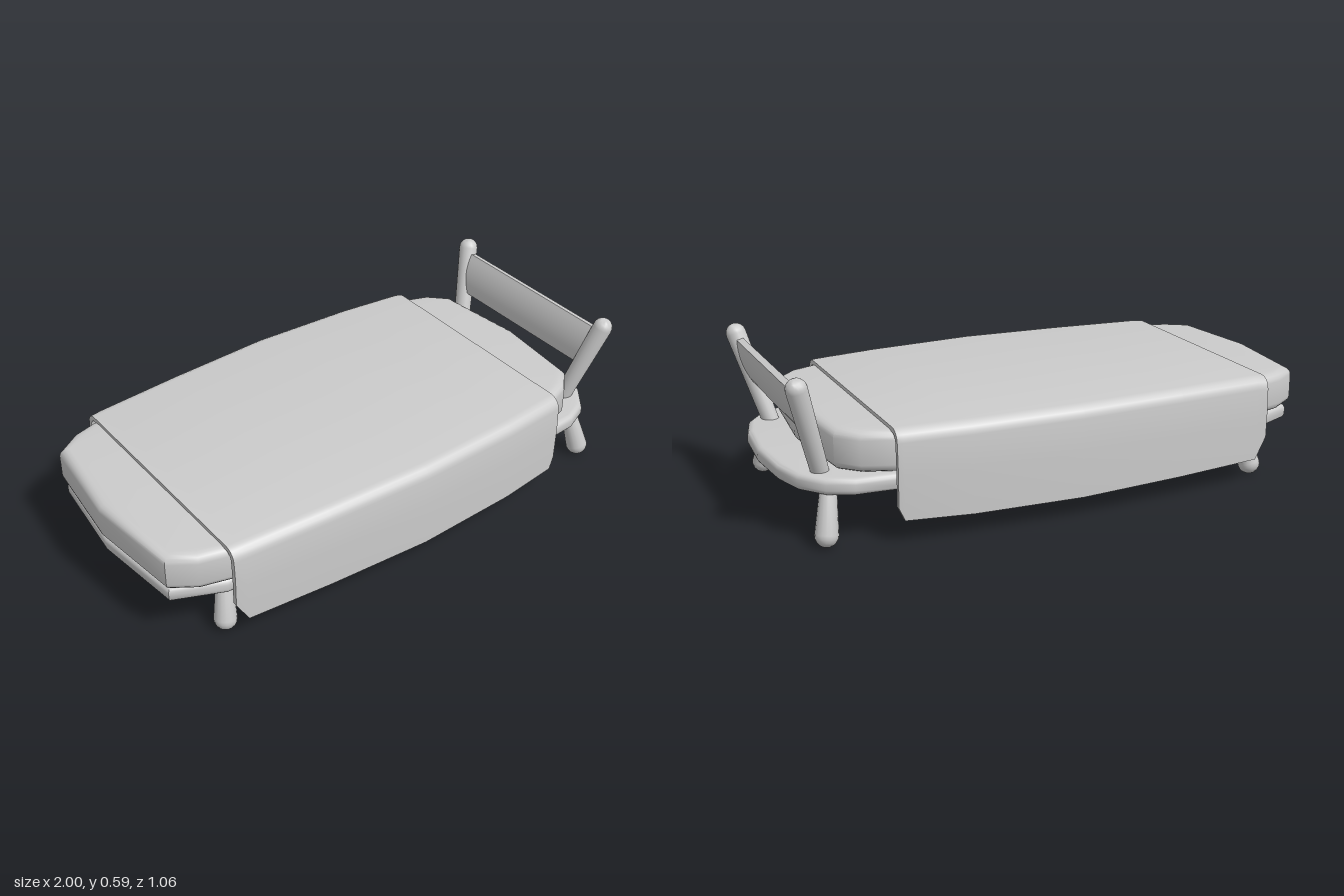
import * as THREE from 'three';
import { toCreasedNormals } from 'three/addons/utils/BufferGeometryUtils.js';

const material = new THREE.MeshStandardMaterial({ color: 0xcccccc, side: THREE.DoubleSide });

function addMesh(parent, name, geometry) {
  const mesh = new THREE.Mesh(geometry, material);
  mesh.name = name;
  parent.add(mesh);
  return mesh;
}

// Flat slab with rounded edges; half holds [x, z] along one long side, mirrored to the other
function slab(half, y0, y1, bevel, drop) {
  const points = half.map(([x, z]) => new THREE.Vector2(x, z));
  for (const [x, z] of half.slice(1, -1).reverse()) points.push(new THREE.Vector2(x, -z));
  const geometry = new THREE.ExtrudeGeometry(new THREE.Shape(points), {
    depth: y1 - y0 - 2 * drop, bevelThickness: drop, bevelSize: bevel, bevelOffset: -bevel, bevelSegments: 4,
  });
  geometry.rotateX(-Math.PI / 2).translate(0, y0 + drop, 0);
  return toCreasedNormals(geometry, 0.7);
}

// Tapered round rod from a to b with a domed end at b
function rod(a, b, ra, rb) {
  const axis = b.clone().sub(a);
  const length = axis.length();
  const profile = [new THREE.Vector2(0, 0), new THREE.Vector2(ra, 0)];
  for (let i = 0; i <= 5; i++) {
    const t = (i / 5) * Math.PI / 2;
    profile.push(new THREE.Vector2(rb * Math.cos(t), length - rb + rb * Math.sin(t)));
  }
  const geometry = toCreasedNormals(new THREE.LatheGeometry(profile, 16), 0.8);
  geometry.applyQuaternion(new THREE.Quaternion().setFromUnitVectors(new THREE.Vector3(0, 1, 0), axis.normalize()));
  return geometry.translate(a.x, a.y, a.z);
}

// Cross-section of the draped cover: one line over the top from +z to -z
function drape(halfWidth, top, bottom, radius) {
  const side = [[halfWidth, bottom], [halfWidth + 0.003, (bottom + top) / 2]];
  for (let i = 0; i <= 5; i++) {
    const t = (i / 5) * Math.PI / 2;
    side.push([halfWidth - radius * (1 - Math.cos(t)), top - radius * (1 - Math.sin(t))]);
  }
  return [...side, ...side.slice().reverse().map(([z, y]) => [-z, y])];
}

// Cover with thickness, lofted through stations [x, halfWidth, top, bottom]
function coverGeometry(stations) {
  const thickness = 0.018;
  const position = [];
  const index = [];
  let n = 0;
  for (const [x, w, top, bottom] of stations) {
    const outer = drape(w, top, bottom, 0.045);
    const inner = drape(w - thickness, top - thickness, bottom, 0.03).reverse();
    n = outer.length;
    for (const [z, y] of [...outer, ...inner]) position.push(x, y, z);
  }
  const ring = 2 * n;
  for (let s = 0; s < stations.length - 1; s++) {
    for (let i = 0; i < ring; i++) {
      const a = s * ring + i;
      const b = s * ring + (i + 1) % ring;
      index.push(a, a + ring, b, b, a + ring, b + ring);
    }
  }
  // Hems at both ends
  const last = (stations.length - 1) * ring;
  for (let i = 0; i < n - 1; i++) {
    const j = ring - 1 - i;
    index.push(i, i + 1, j, j, i + 1, j - 1);
    index.push(last + i, last + j, last + i + 1, last + j, last + j - 1, last + i + 1);
  }
  const geometry = new THREE.BufferGeometry();
  geometry.setAttribute('position', new THREE.Float32BufferAttribute(position, 3));
  geometry.setIndex(index);
  return toCreasedNormals(geometry, 0.7);
}

export function createModel() {
  const bed = new THREE.Group();
  bed.name = 'bed';

  // Base board, rounder at the head end
  addMesh(bed, 'baseBoard', slab([
    [-0.99, 0], [-0.95, 0.35], [-0.77, 0.43], [-0.4, 0.445], [0, 0.455], [0.4, 0.455],
    [0.65, 0.45], [0.79, 0.44], [0.88, 0.4], [0.95, 0.31], [0.985, 0.19], [1, 0],
  ], 0.178, 0.238, 0.022, 0.02));

  // Mattress
  addMesh(bed, 'mattress', slab([
    [-1, 0], [-0.96, 0.36], [-0.87, 0.42], [-0.76, 0.45], [-0.4, 0.46], [0, 0.468],
    [0.4, 0.46], [0.65, 0.45], [0.76, 0.41], [0.83, 0.34], [0.865, 0],
  ], 0.24, 0.385, 0.035, 0.03));

  // Cover hanging down both long sides
  addMesh(bed, 'cover', coverGeometry([
    [-0.775, 0.484, 0.398, 0.17], [-0.73, 0.488, 0.401, 0.09], [-0.4, 0.51, 0.404, 0.082],
    [0, 0.528, 0.406, 0.076], [0.4, 0.512, 0.403, 0.078], [0.64, 0.488, 0.4, 0.085], [0.66, 0.484, 0.398, 0.13],
  ]));

  // Splayed legs and head posts, mirrored front to back
  for (const s of [1, -1]) {
    const end = s > 0 ? 'front' : 'back';
    const v = (x, y, z) => new THREE.Vector3(x, y, z * s);
    addMesh(bed, end + 'HeadLeg', rod(v(0.855, 0.2, 0.35), v(0.888, 0.003, 0.405), 0.028, 0.041));
    addMesh(bed, end + 'FootLeg', rod(v(-0.735, 0.2, 0.35), v(-0.775, 0.003, 0.405), 0.028, 0.041));
    addMesh(bed, end + 'HeadPost', rod(v(0.865, 0.22, 0.302), v(0.967, 0.585, 0.394), 0.031, 0.037));
  }

  // Headboard panel: shallow lens section, leaning with the posts
  const lens = new THREE.Shape();
  lens.moveTo(-0.012, -0.08);
  lens.quadraticCurveTo(-0.036, 0, -0.012, 0.08);
  lens.lineTo(0.012, 0.08);
  lens.quadraticCurveTo(0.036, 0, 0.012, -0.08);
  const panel = new THREE.ExtrudeGeometry(lens, { depth: 0.7, bevelEnabled: false, curveSegments: 8 });
  panel.translate(0, 0, -0.35).rotateZ(-0.273);
  const p = panel.attributes.position;
  for (let i = 0; i < p.count; i++) p.setZ(i, p.getZ(i) * (1 + 0.65 * p.getY(i)));
  const headboard = addMesh(bed, 'headboard', toCreasedNormals(panel, 0.7));
  headboard.position.set(0.932, 0.459, 0);

  return bed;
}
